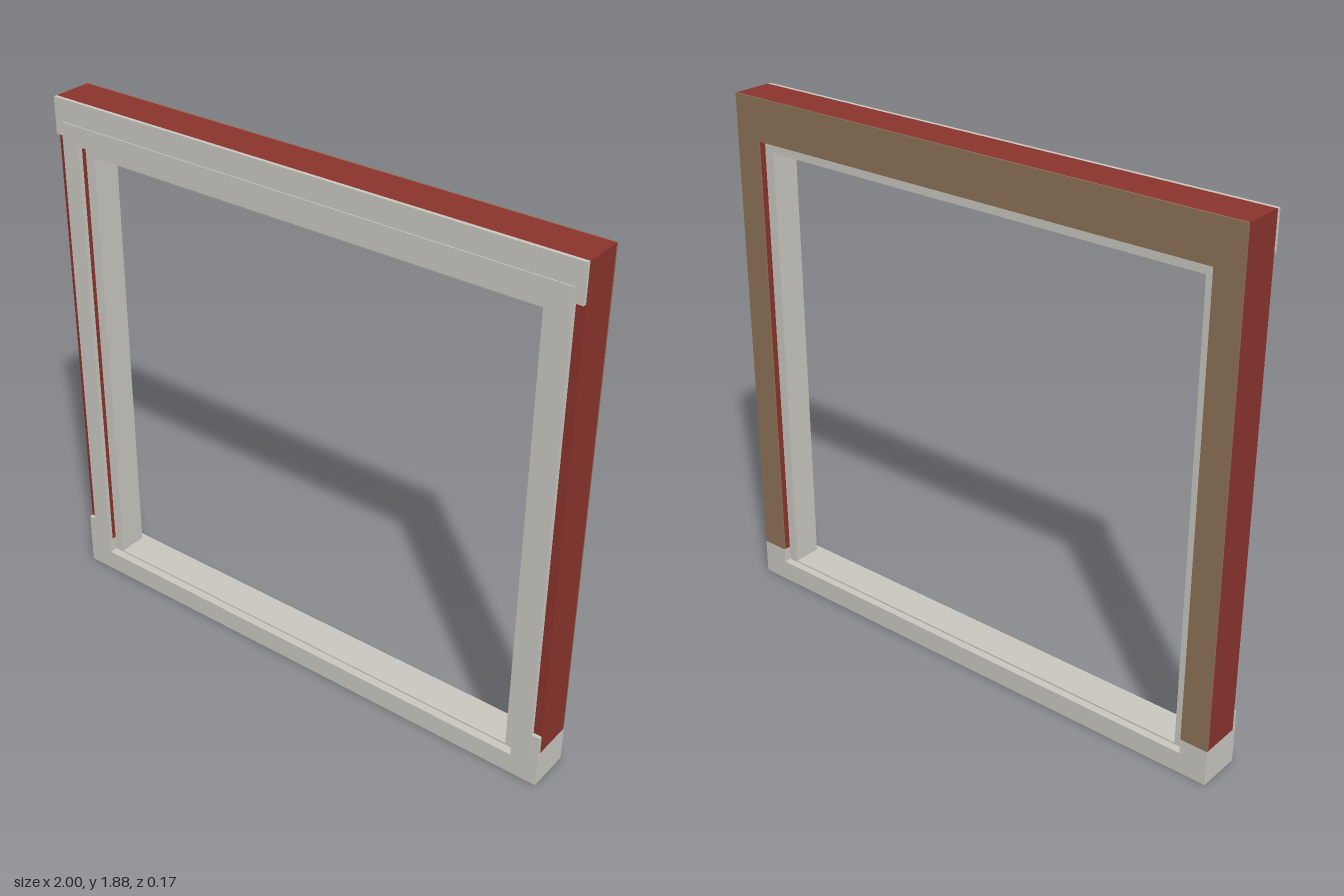
import * as THREE from 'three';

const material = (name, color) => {
  const m = new THREE.MeshStandardMaterial({ color });
  m.name = name;
  return m;
};

// Outline on the xy plane, extruded from z0 to z1
function slab(name, points, z0, z1, mat, hole) {
  const toVectors = (list) => list.map(([x, y]) => new THREE.Vector2(x, y));
  const shape = new THREE.Shape(toVectors(points));
  if (hole) shape.holes.push(new THREE.Path(toVectors(hole)));
  const geo = new THREE.ExtrudeGeometry(shape, { depth: z1 - z0, bevelEnabled: false });
  geo.translate(0, 0, z0);
  const mesh = new THREE.Mesh(geo, mat);
  mesh.name = name;
  return mesh;
}

const rect = (x0, y0, x1, y1) => [[x0, y0], [x1, y0], [x1, y1], [x0, y1]];

// Two legs joined by a head (or by a base, when inner and outer are below the leg ends)
const arch = (outX, outY, inX, inY, legY) => [
  [-outX, legY], [-inX, legY], [-inX, inY], [inX, inY],
  [inX, legY], [outX, legY], [outX, outY], [-outX, outY],
];

export function createModel() {
  const group = new THREE.Group();
  group.name = 'windowFrame';

  const stone = material('pale grey stone', 0xc9c7c0);
  const red = material('brick red', 0x8b342d);
  const brown = material('brown board', 0x8d7257);

  // Wall surround with a thin board on the back
  const wall = arch(1, 1.88, 0.9, 1.73, 0.13);
  group.add(slab('wallSurround', wall, -0.077, 0.066, red));
  group.add(slab('backBoard', wall, -0.083, -0.077, brown));

  // Sill with raised ends under the wall
  group.add(slab('sill', arch(1, 0, 0.9, 0.076, 0.13), -0.083, 0.08, stone));

  // Raised casing around the opening
  group.add(slab('casing', arch(0.97, 1.8, 0.9, 1.73, 0.13), 0.066, 0.083, stone));

  // Head trim with short ears
  group.add(slab('headTrim', arch(1, 1.88, 0.97, 1.8, 1.75), 0.066, 0.079, stone));

  // Small blocks at the foot of the casing
  for (const side of [-1, 1]) {
    const foot = new THREE.Mesh(new THREE.BoxGeometry(0.03, 0.07, 0.013), stone);
    foot.position.set(side * 0.985, 0.165, 0.0725);
    foot.name = side > 0 ? 'leftFootTrim' : 'rightFootTrim';
    group.add(foot);
  }

  // Recessed inner frame
  group.add(slab('innerFrame', rect(-0.9, 0.07, 0.9, 1.73), -0.055, 0.05, stone,
    rect(-0.862, 0.082, 0.862, 1.69)));

  return group;
}
